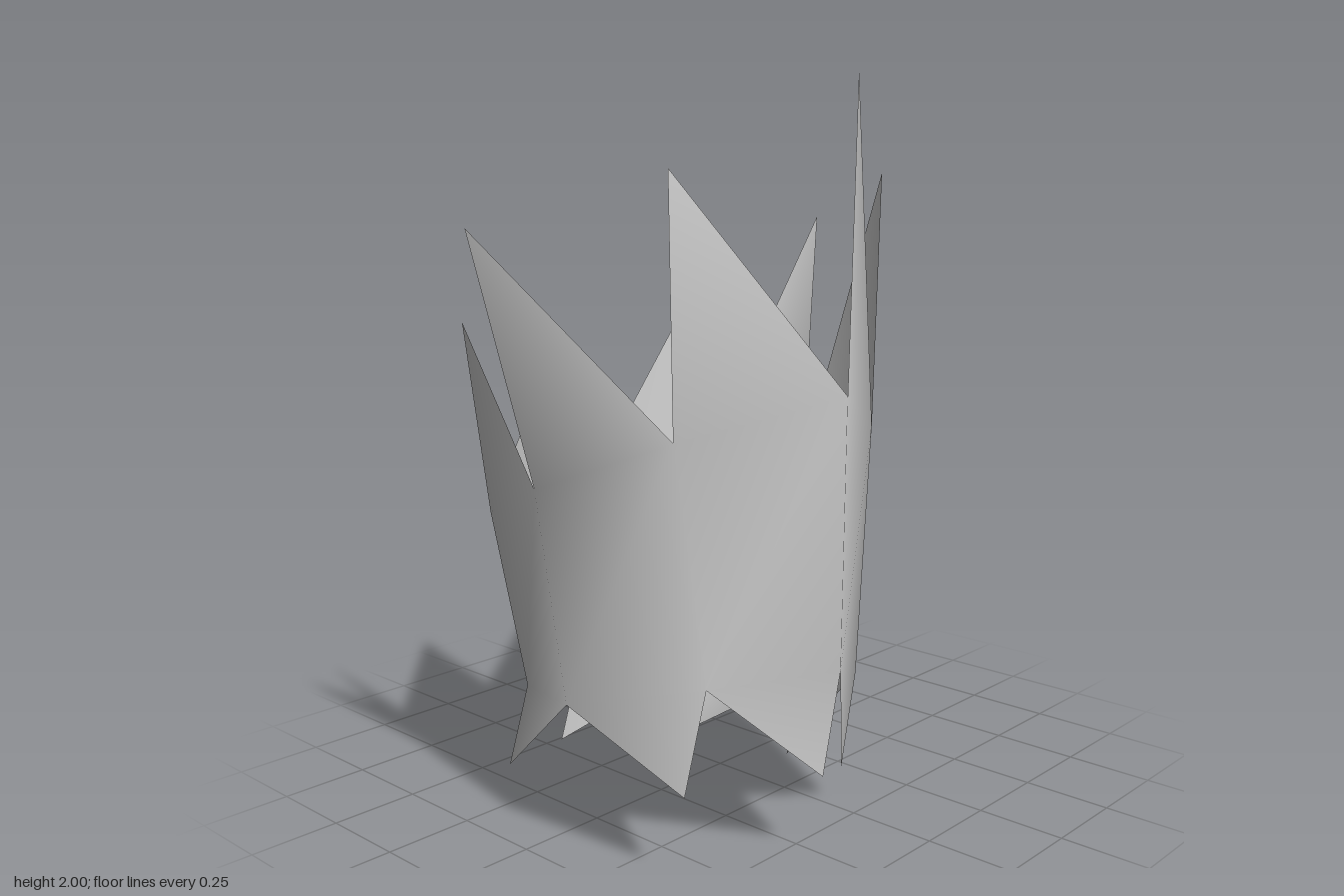
import * as THREE from 'three';

// Eight-sided leaning shell; every ring runs anticlockwise from the front towards +x.
// Each entry: upper wall corner, lower wall corner, peak and tip of the side that follows.
const SIDES = [
  { top: [-0.04, 0.94, 0.66], low: [0.09, 0.40, 0.68], peak: [-0.23, 1.60, 0.71], tip: [0.44, 0.23, 0.61] },
  { top: [0.33, 1.09, 0.53], low: [0.43, 0.48, 0.52], peak: [0.22, 1.75, 0.43], tip: [0.61, 0.23, 0.28] },
  { top: [0.54, 1.18, 0.11], low: [0.60, 0.49, 0.20], peak: [0.43, 2.00, -0.06], tip: [0.43, 0.10, -0.03] },
  { top: [0.33, 1.03, -0.28], low: [0.40, 0.35, -0.13], peak: [0.21, 1.74, -0.47], tip: [0.10, 0.00, -0.19] },
  { top: [-0.07, 0.85, -0.46], low: [0.08, 0.22, -0.27], peak: [-0.23, 1.60, -0.72], tip: [-0.23, 0.01, -0.02] },
  { top: [-0.38, 0.69, -0.25], low: [-0.25, 0.21, -0.10], peak: [-0.50, 1.26, -0.33], tip: [-0.36, 0.07, 0.31] },
  { top: [-0.50, 0.67, 0.15], low: [-0.37, 0.25, 0.24], peak: [-0.61, 1.18, 0.11], tip: [-0.22, 0.13, 0.62] },
  { top: [-0.40, 0.80, 0.52], low: [-0.245, 0.33, 0.53], peak: [-0.49, 1.33, 0.53], tip: null },
];

export function createModel() {
  const group = new THREE.Group();
  group.name = 'raggedShell';
  const grey = new THREE.MeshStandardMaterial({ color: 0xc0c0c0, side: THREE.DoubleSide });
  grey.name = 'plain grey';

  const n = SIDES.length;
  const points = [];
  const faces = [];
  // Vertex slots per side: 0 upper corner, 1 lower corner, 2 peak, 3 tip
  const at = (side, slot) => (side % n) * 4 + slot;
  SIDES.forEach((s, i) => {
    const tip = s.tip ?? SIDES[i - 1].tip;
    points.push(...s.top, ...s.low, ...s.peak, ...tip);
    const tipIndex = s.tip ? at(i, 3) : at(i - 1, 3); // the last two sides share one broad tip
    // wall panel
    faces.push(at(i, 1), at(i + 1, 1), at(i + 1, 0), at(i, 1), at(i + 1, 0), at(i, 0));
    // upper tooth and lower tooth
    faces.push(at(i, 0), at(i + 1, 0), at(i, 2));
    faces.push(at(i, 1), tipIndex, at(i + 1, 1));
  });

  const geometry = new THREE.BufferGeometry();
  geometry.setAttribute('position', new THREE.Float32BufferAttribute(points, 3));
  geometry.setIndex(faces);
  geometry.computeVertexNormals(); // smooth around the wall

  const shell = new THREE.Mesh(geometry, grey);
  shell.name = 'jaggedWall';
  group.add(shell);
  return group;
}
